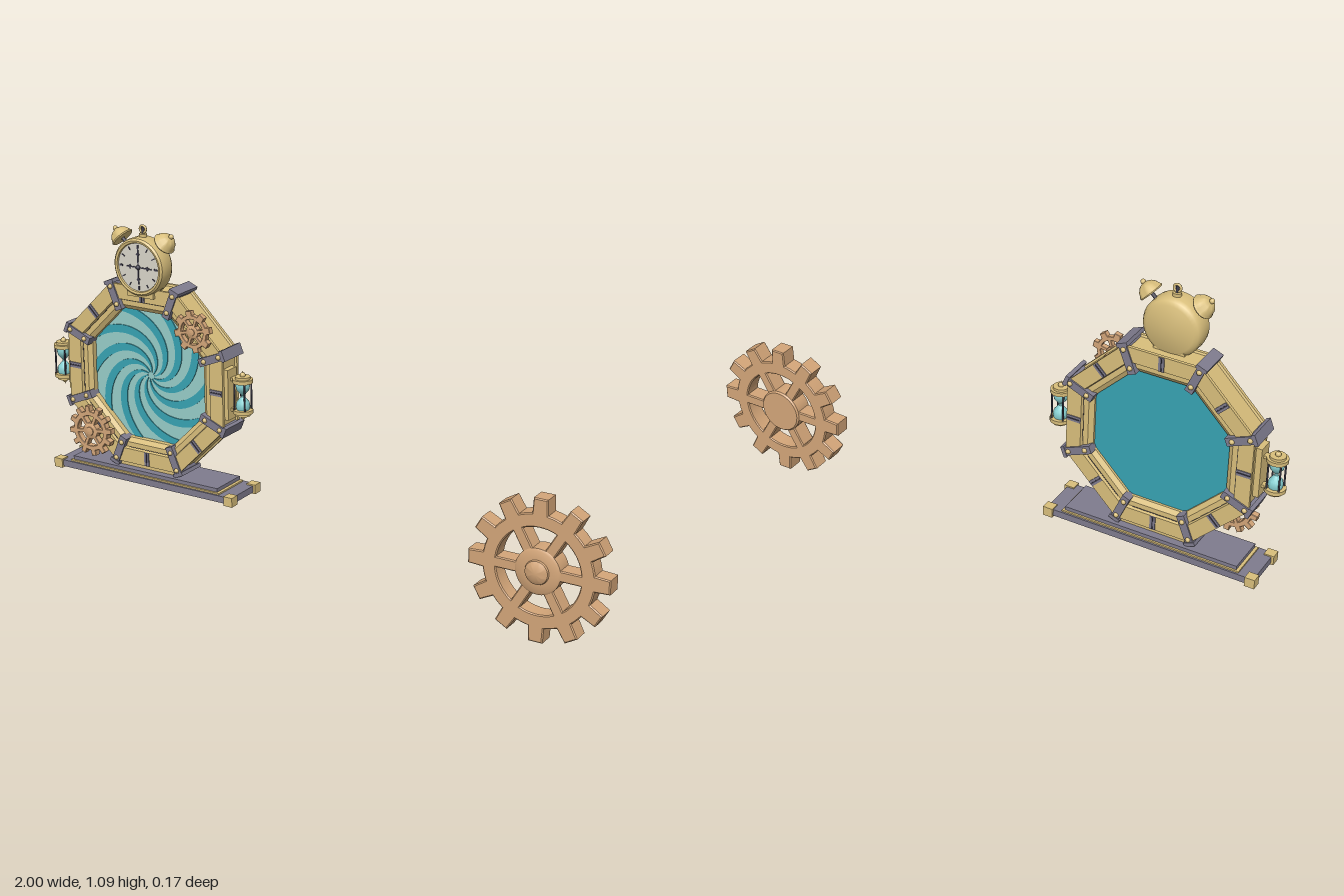
import * as THREE from 'three';
import { toCreasedNormals } from 'three/addons/utils/BufferGeometryUtils.js';

const mat = (name, color) => {
  const m = new THREE.MeshStandardMaterial({ color });
  m.name = name;
  return m;
};
const brass = mat('brass', 0xd9bf7c), copper = mat('copper', 0xd4a679), steel = mat('steel', 0x7f7c8e);
const dark = mat('darkMetal', 0x3f3d4c), teal = mat('deepTeal', 0x37a3b3), pale = mat('paleTeal', 0x98cdc9);
const cream = mat('dial', 0xdad6ca), glass = mat('glass', 0x86d0d2);
const TAU = Math.PI * 2, PX = -0.617, PY = 0.59;

function add(parent, name, geo, material, x = 0, y = 0, z = 0) {
  const m = new THREE.Mesh(geo, material);
  m.name = name;
  m.position.set(x, y, z);
  parent.add(m);
  return m;
}
function group(parent, name, x = 0, y = 0, z = 0) {
  const g = new THREE.Group();
  g.name = name;
  g.position.set(x, y, z);
  parent.add(g);
  return g;
}
const box = (w, h, d) => new THREE.BoxGeometry(w, h, d);
const cyl = (r, h, n = 20) => new THREE.CylinderGeometry(r, r, h, n);
const lathe = (pts, n = 32) => toCreasedNormals(
  new THREE.LatheGeometry(pts.map(p => new THREE.Vector2(...p)), n), 0.6);

// Toothed wheel with six spokes and a domed hub
function gear(parent, name, x, y, z, R, teeth, depth, phase = 0) {
  const g = group(parent, name, x, y, z);
  const polar = (r, a) => new THREE.Vector2(r * Math.cos(a), r * Math.sin(a));
  const step = TAU / teeth, root = R * 0.79, pts = [];
  for (let i = 0; i < teeth; i++) {
    const a = i * step;
    pts.push(polar(root, a - step * 0.27), polar(R, a - step * 0.19),
      polar(R, a + step * 0.19), polar(root, a + step * 0.27), polar(root, a + step * 0.5));
  }
  const shape = new THREE.Shape(pts);
  const ri = R * 0.26, ro = R * 0.6, half = R * 0.075;
  for (let k = 0; k < 6; k++) {
    const a0 = k * TAU / 6, a1 = a0 + TAU / 6, hole = [];
    const o = Math.asin(half / ro), i = Math.asin(half / ri);
    for (let j = 0; j <= 8; j++) hole.push(polar(ro, a0 + o + (a1 - a0 - 2 * o) * j / 8));
    for (let j = 4; j >= 0; j--) hole.push(polar(ri, a0 + i + (a1 - a0 - 2 * i) * j / 4));
    shape.holes.push(new THREE.Path(hole));
  }
  const b = depth * 0.06;
  const geo = new THREE.ExtrudeGeometry(shape, {
    depth: depth - 2 * b, bevelEnabled: true, bevelThickness: b, bevelSize: b, bevelOffset: -b, bevelSegments: 1
  });
  geo.translate(0, 0, b - depth / 2);
  add(g, 'toothedWheel', toCreasedNormals(geo, 0.5), copper).rotation.z = phase;
  const d = depth / 2;
  add(g, 'hub', lathe([[0, -d * 1.2], [R * 0.3, -d * 1.2], [R * 0.32, -d], [R * 0.32, d], [R * 0.29, d * 1.15],
    [R * 0.17, d * 1.2], [R * 0.16, d * 1.4], [R * 0.1, d * 1.68], [0, d * 1.75]]), copper).rotation.x = Math.PI / 2;
  return g;
}

function buildPortal(root) {
  const g = group(root, 'portal', PX, PY, 0);
  // Eight-sided frame with a recessed outer band and stepped faces
  const k = 1 / Math.cos(Math.PI / 8);
  const profile = [[0.218, -0.026], [0.232, -0.036], [0.248, -0.036], [0.252, -0.046], [0.3, -0.046], [0.3, -0.036],
    [0.294, -0.033], [0.294, 0.033], [0.3, 0.036], [0.3, 0.046], [0.252, 0.046], [0.248, 0.036],
    [0.232, 0.036], [0.218, 0.026], [0.218, -0.026]].map(([r, y]) => new THREE.Vector2(r * k, y));
  const ring = new THREE.LatheGeometry(profile, 8, Math.PI / 8);
  add(g, 'frame', toCreasedNormals(ring, 0.1), brass).rotation.x = Math.PI / 2;

  for (let i = 0; i < 8; i++) {
    // Corner clamps with studs
    const c = group(g, 'cornerClamp');
    c.rotation.z = (i + 0.5) * TAU / 8;
    add(c, 'clampBar', box(0.1, 0.026, 0.102), steel, 0.283);
    add(c, 'clampEdge', box(0.012, 0.036, 0.106), steel, 0.328);
    for (const s of [-1, 1]) for (const r of [0.253, 0.313])
      add(c, 'stud', new THREE.SphereGeometry(0.008, 10, 8), brass, r, 0, s * 0.051);
    // Straps across the middle of each side
    const m = group(g, 'sideStrap');
    m.rotation.z = i * TAU / 8;
    for (const s of [-1, 1]) {
      add(m, 'strap', box(0.046, 0.018, 0.006), steel, 0.275, 0, s * 0.046);
      add(m, 'strapSlot', box(0.042, 0.004, 0.002), dark, 0.275, 0, s * 0.0495);
      add(m, 'panelLine', box(0.004, 0.15, 0.002), dark, 0.25, 0, s * 0.037);
    }
  }

  // Portal disc and spiral arms
  const disc = (d) => new THREE.CylinderGeometry(0.24, 0.24, d, 8, 1, false, Math.PI / 8).rotateX(Math.PI / 2);
  add(g, 'portalBack', disc(0.02), teal, 0, 0, -0.008);
  add(g, 'portalFront', disc(0.006), pale, 0, 0, 0.005);
  const arms = 10, N = 24;
  for (let a = 0; a < arms; a++) {
    const edge = (side) => Array.from({ length: N + 1 }, (_, j) => {
      const t = j / N, r = 0.012 + 0.22 * t;
      const th = a * TAU / arms + 2.0 * Math.pow(t, 0.8) + side * 0.14 * (0.4 + 0.6 * Math.sin(Math.PI * (0.15 + 0.7 * t)));
      return new THREE.Vector2(r * Math.cos(th), r * Math.sin(th));
    });
    const shape = new THREE.Shape([...edge(-1), ...edge(1).reverse()]);
    add(g, 'spiralArm', new THREE.ExtrudeGeometry(shape, { depth: 0.003, bevelEnabled: false }), teal, 0, 0, 0.008);
  }
}

function buildBase(root) {
  const g = group(root, 'base', PX, 0, 0);
  add(g, 'slab', box(0.69, 0.022, 0.152), steel, 0, 0.249);
  add(g, 'upperStep', box(0.572, 0.012, 0.13), steel, 0, 0.272);
  add(g, 'stepTrim', box(0.59, 0.005, 0.14), brass, 0, 0.2625);
  add(g, 'frameFoot', box(0.22, 0.02, 0.08), brass, 0, 0.284);
  for (const sx of [-1, 1]) for (const sz of [-1, 1])
    add(g, 'cornerCap', box(0.032, 0.031, 0.032), brass, sx * 0.337, 0.249, sz * 0.067);
}

function buildClock(root) {
  const g = group(root, 'alarmClock', PX, 0.96, 0.03);
  add(g, 'clockBody', lathe([[0, -0.037], [0.075, -0.037], [0.087, -0.03], [0.093, -0.018], [0.094, 0.018],
    [0.092, 0.03], [0.086, 0.036], [0.079, 0.034], [0.077, 0.027], [0, 0.027]], 40), brass).rotation.x = Math.PI / 2;
  add(g, 'clockFoot', box(0.1, 0.03, 0.06), brass, 0, -0.083, -0.004);
  add(g, 'dial', cyl(0.077, 0.004, 40), cream, 0, 0, 0.027).rotation.x = Math.PI / 2;
  for (let i = 0; i < 12; i++) {
    const a = i * TAU / 12;
    add(g, 'hourMark', box(0.012, i % 3 ? 0.003 : 0.006, 0.002), dark,
      0.066 * Math.cos(a), 0.066 * Math.sin(a), 0.03).rotation.z = a;
  }
  // Ornate hands
  for (const [a, len] of [[0, 0.05], [1, 0.06], [2, 0.045], [3, 0.055]]) {
    const h = group(g, 'clockHand', 0, 0, 0.031);
    h.rotation.z = a * Math.PI / 2;
    add(h, 'handShaft', box(len, 0.004, 0.002), dark, len / 2);
    add(h, 'handDiamond', box(0.01, 0.01, 0.002), dark, len * 0.7).rotation.z = Math.PI / 4;
  }
  add(g, 'handPin', new THREE.SphereGeometry(0.008, 12, 8), dark, 0, 0, 0.031);
  // Bells and hammer
  for (const s of [-1, 1]) {
    const b = group(g, 'bell', s * 0.06, 0.06, 0);
    b.rotation.z = -s * 0.8;
    add(b, 'bellStem', cyl(0.006, 0.04, 10), dark, 0, 0.015);
    add(b, 'bellDome', lathe([[0, 0.026], [0.036, 0.026], [0.038, 0.03], [0.034, 0.036], [0.03, 0.046],
      [0.021, 0.056], [0.009, 0.062], [0, 0.063]], 24), brass);
    add(b, 'bellKnob', new THREE.SphereGeometry(0.008, 12, 8), brass, 0, 0.066);
  }
  add(g, 'hammerStem', cyl(0.005, 0.04, 10), dark, 0, 0.105);
  add(g, 'hammerCollar', cyl(0.013, 0.012, 16), brass, 0, 0.097);
  add(g, 'topRing', new THREE.TorusGeometry(0.011, 0.004, 8, 20), brass, 0, 0.117);
}

function buildHourglass(root, s) {
  const g = group(root, 'hourglass', PX + s * 0.352, PY - 0.005, 0.01);
  add(g, 'backPlate', box(0.018, 0.165, 0.05), brass, -s * 0.048, 0, 0);
  const bulb = [[0, -0.046], [0.02, -0.046], [0.023, -0.034], [0.02, -0.02], [0.006, -0.003], [0.006, 0.003],
    [0.02, 0.02], [0.023, 0.034], [0.02, 0.046], [0, 0.046]];
  add(g, 'glassBulbs', lathe(bulb, 20), glass);
  for (const e of [-1, 1]) {
    add(g, 'cap', cyl(0.032, 0.012, 24), brass, 0, e * 0.05);
    add(g, 'capStep', cyl(0.024, 0.01, 24), brass, 0, e * 0.059);
    add(g, 'finial', new THREE.SphereGeometry(0.009, 12, 8), brass, 0, e * 0.068);
    add(g, 'finialTip', new THREE.ConeGeometry(0.005, 0.014, 10), brass, 0, e * 0.076).rotation.z = e < 0 ? Math.PI : 0;
    add(g, 'bracketArm', box(0.04, 0.01, 0.02), brass, -s * 0.03, e * 0.05, 0);
  }
  for (let i = 0; i < 4; i++) {
    const a = (i + 0.5) * TAU / 4;
    add(g, 'post', cyl(0.003, 0.095, 8), dark, 0.027 * Math.cos(a), 0, 0.027 * Math.sin(a));
  }
}

export function createModel() {
  const root = new THREE.Group();
  root.name = 'clockworkPortal';
  buildBase(root);
  buildPortal(root);
  buildClock(root);
  for (const s of [-1, 1]) buildHourglass(root, s);
  // Gears on the frame and the large separate gear
  gear(root, 'upperGear', -0.41, 0.785, 0.064, 0.068, 8, 0.018, 0.2);
  gear(root, 'lowerGear', -0.82, 0.384, 0.066, 0.085, 12, 0.022, 0.13);
  for (const [x, y] of [[-0.41, 0.785], [-0.82, 0.384]])
    add(root, 'gearAxle', cyl(0.012, 0.05, 12), copper, x, y, 0.045).rotation.x = Math.PI / 2;
  gear(root, 'largeGear', 0.769, 0.233, 0, 0.229, 12, 0.058);
  return root;
}
